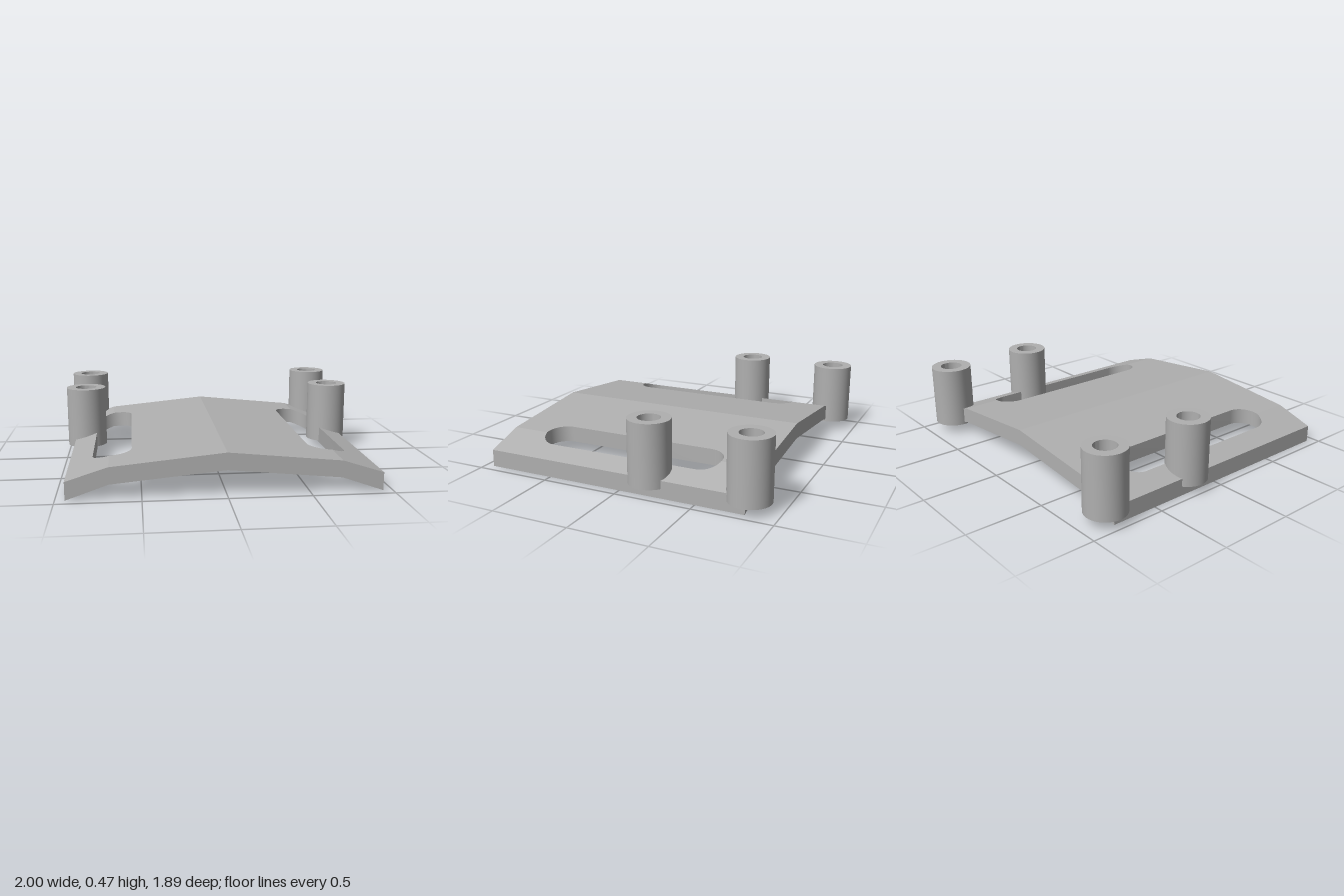
import * as THREE from 'three';
import { mergeGeometries, toCreasedNormals } from 'three/addons/utils/BufferGeometryUtils.js';

// Plate section: x stations with top and bottom heights (mirrored about x = 0)
const X = [0, 0.69, 0.942];
const TOP = [0.26, 0.192, 0.112];
const BOTTOM = [0.154, 0.088, 0];
const Z_BACK = -0.81, Z_FRONT = 0.942;
const SLOT = { x: 0.674, r: 0.121, back: -0.439, front: 0.569 };

function heightAt(table, x) {
  const i = x <= X[1] ? 0 : 1;
  return THREE.MathUtils.mapLinear(x, X[i], X[i + 1], table[i], table[i + 1]);
}

// Half of the slot outline on one side of the fold, running front to back
function slotEdge(outer) {
  const fold = Math.acos((X[1] - SLOT.x) / SLOT.r);
  const end = outer ? 0 : Math.PI;
  const pts = [];
  const n = 14;
  for (let i = 0; i <= n; i++) {
    const a = THREE.MathUtils.lerp(fold, end, i / n);
    pts.push([SLOT.x + SLOT.r * Math.cos(a), SLOT.front + SLOT.r * Math.sin(a)]);
  }
  for (let i = n; i >= 0; i--) {
    const a = THREE.MathUtils.lerp(fold, end, i / n);
    pts.push([SLOT.x + SLOT.r * Math.cos(a), SLOT.back - SLOT.r * Math.sin(a)]);
  }
  pts[0][0] = pts[pts.length - 1][0] = X[1];
  return pts;
}

// One flat strip of the plate, extruded upright and then sheared to its slope
function strip(side, outer) {
  const far = outer ? X[2] : X[0];
  const outline = [[far, Z_BACK], [far, Z_FRONT], [X[1], Z_FRONT], ...slotEdge(outer), [X[1], Z_BACK]];
  const shape = new THREE.Shape(outline.map(([x, z]) => new THREE.Vector2(side * x, -z)));
  const g = new THREE.ExtrudeGeometry(shape, { depth: 1, bevelEnabled: false }).rotateX(-Math.PI / 2);
  const p = g.attributes.position;
  for (let i = 0; i < p.count; i++) {
    const x = Math.abs(p.getX(i));
    p.setY(i, THREE.MathUtils.lerp(heightAt(BOTTOM, x), heightAt(TOP, x), p.getY(i)));
  }
  return g;
}

// Drop the hidden walls where neighbouring strips meet
function removeSeams(g) {
  const p = g.attributes.position;
  const kept = [];
  for (let i = 0; i < p.count; i += 3) {
    const onSeam = [X[0], X[1]].some((s) =>
      [0, 1, 2].every((k) => Math.abs(Math.abs(p.getX(i + k)) - s) < 1e-5));
    if (!onSeam) for (let k = 0; k < 3; k++) kept.push(p.getX(i + k), p.getY(i + k), p.getZ(i + k));
  }
  const out = new THREE.BufferGeometry();
  out.setAttribute('position', new THREE.Float32BufferAttribute(kept, 3));
  return out;
}

export function createModel() {
  const model = new THREE.Group();
  model.name = 'slottedPlateWithPosts';
  const grey = new THREE.MeshStandardMaterial({ color: 0xb0b0b0 });
  grey.name = 'grey';

  // Folded plate with two long slots
  const strips = [];
  for (const side of [-1, 1]) for (const outer of [false, true]) strips.push(strip(side, outer));
  const plate = new THREE.Mesh(toCreasedNormals(removeSeams(mergeGeometries(strips)), 0.16), grey);
  plate.name = 'plate';
  model.add(plate);

  // Round posts with a blind hole in the top
  const profile = [[0, 0.06], [0.134, 0.06], [0.134, 0.465], [0.072, 0.465], [0.072, 0.2], [0, 0.2]]
    .map(([r, y]) => new THREE.Vector2(r, y));
  const postGeometry = toCreasedNormals(new THREE.LatheGeometry(profile, 48), 0.5);
  for (const [sideName, x] of [['left', 0.866], ['right', -0.866]]) {
    for (const [endName, z] of [['Back', -0.81], ['Middle', -0.172]]) {
      const post = new THREE.Mesh(postGeometry, grey);
      post.name = `${sideName}${endName}Post`;
      post.position.set(x, 0, z);
      model.add(post);
    }
  }
  return model;
}
